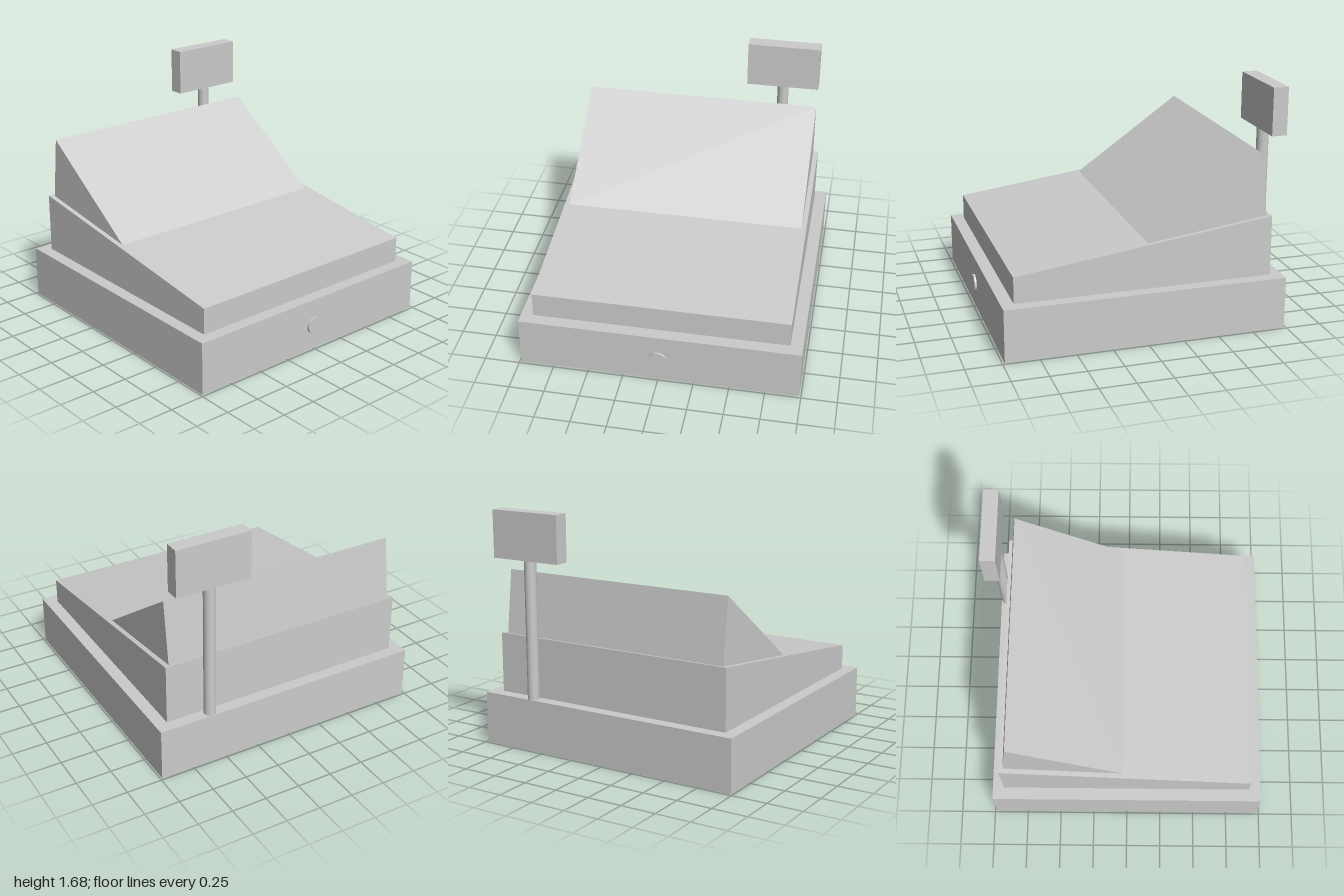
import * as THREE from 'three';

const material = new THREE.MeshStandardMaterial({ color: 0xcccccc, side: THREE.DoubleSide, flatShading: true });
const smooth = new THREE.MeshStandardMaterial({ color: 0xcccccc });

// Four-cornered loop: half width, front and back z, front and back height
function loop(w, zFront, zBack, yFront, yBack = yFront) {
  return [[-w, yFront, zFront], [w, yFront, zFront], [w, yBack, zBack], [-w, yBack, zBack]]
    .map((p) => new THREE.Vector3(...p));
}

// Open shell skinned through successive loops
function shell(loops) {
  const points = [];
  const tri = (a, b, c) => {
    if (!a.equals(b) && !b.equals(c) && !c.equals(a)) points.push(a, b, c);
  };
  for (let k = 0; k + 1 < loops.length; k++) {
    const a = loops[k], b = loops[k + 1];
    for (let i = 0; i < 4; i++) {
      const j = (i + 1) % 4;
      tri(a[i], a[j], b[j]);
      tri(a[i], b[j], b[i]);
    }
  }
  const geometry = new THREE.BufferGeometry().setFromPoints(points);
  geometry.computeVertexNormals();
  return geometry;
}

export function createModel() {
  const model = new THREE.Group();
  model.name = 'cashRegister';
  const add = (name, geometry, mat, x = 0, y = 0, z = 0) => {
    const mesh = new THREE.Mesh(geometry, mat);
    mesh.name = name;
    mesh.position.set(x, y, z);
    model.add(mesh);
    return mesh;
  };

  const baseTop = 0.37;
  const slopeY = (z) => 0.674 - 0.1345 * z; // height of the sloping body top
  const bodyFoot = loop(0.9, 0.897, -0.903, baseTop);
  const hoodFoot = loop(0.865, -0.03, -0.877, slopeY(-0.03), slopeY(-0.877));

  // Drawer base: open below, with a ledge around the body
  add('drawerBase', shell([
    loop(0.987, 0.984, -0.986, 0),
    loop(0.987, 0.984, -0.986, baseTop),
    bodyFoot,
  ]), material);

  // Body: hollow, sloping top, open beneath the hood
  add('body', shell([
    bodyFoot,
    loop(0.9, 0.897, -0.903, slopeY(0.897), slopeY(-0.903)),
    hoodFoot,
  ]), material);

  // Wedge hood rising to a ridge
  add('hood', shell([hoodFoot, loop(0.865, -0.823, -0.823, 1.238)]), material);

  // Drawer lock
  add('drawerLock', new THREE.CylinderGeometry(0.062, 0.062, 0.03, 32), smooth, 0, 0.18, 0.985)
    .rotation.x = Math.PI / 2;

  // Customer display on its pole
  add('displayPole', new THREE.CylinderGeometry(0.042, 0.042, 0.975, 32), smooth, 0.6, 0.8575, -0.943);
  add('customerDisplay', new THREE.BoxGeometry(0.535, 0.332, 0.107), material, 0.598, 1.511, -0.9465);

  return model;
}
